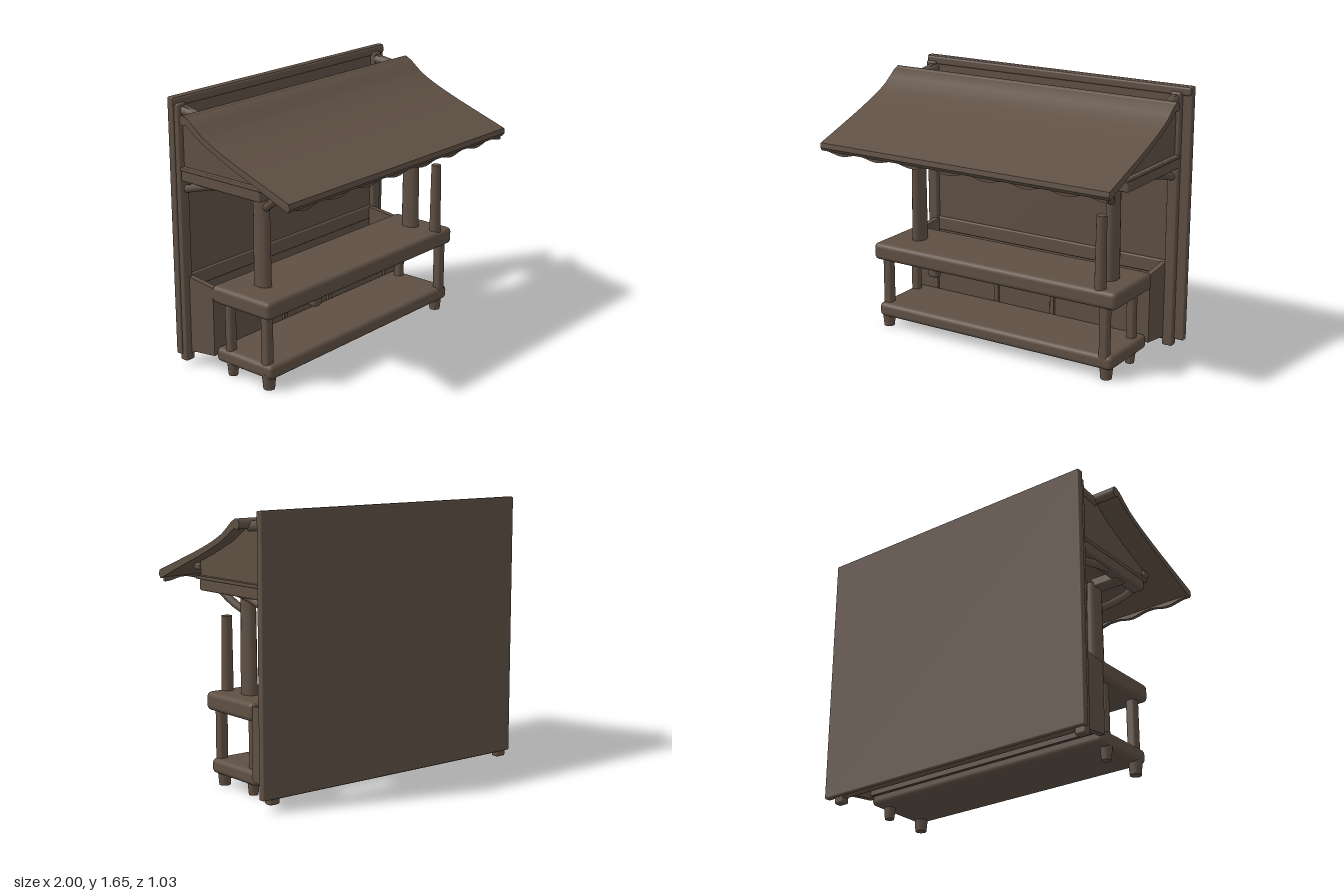
import * as THREE from 'three';
import { RoundedBoxGeometry } from 'three/addons/geometries/RoundedBoxGeometry.js';
import { toCreasedNormals } from 'three/addons/utils/BufferGeometryUtils.js';

export function createModel() {
  const group = new THREE.Group();
  const wood = new THREE.MeshStandardMaterial({ color: 0x5f5044 });
  wood.name = 'dark brown wood';

  const add = (name, geometry) => {
    const mesh = new THREE.Mesh(geometry, wood);
    mesh.name = name;
    group.add(mesh);
    return mesh;
  };
  // Block given by its limits on each axis, with softened edges
  const block = (name, [x0, x1], [y0, y1], [z0, z1], r = 0.012) => {
    const w = x1 - x0, h = y1 - y0, d = z1 - z0;
    const mesh = add(name, new RoundedBoxGeometry(w, h, d, 3, Math.min(r, w / 3, h / 3, d / 3)));
    mesh.position.set((x0 + x1) / 2, (y0 + y1) / 2, (z0 + z1) / 2);
    return mesh;
  };
  // Side outline of [z, y] points, extruded from x0 to x1, smooth over gentle bends
  const profile = (name, points, x0, x1) => {
    const shape = new THREE.Shape(points.map(([z, y]) => new THREE.Vector2(z, y)));
    const g = new THREE.ExtrudeGeometry(shape, { depth: x1 - x0, bevelEnabled: false });
    g.rotateY(-Math.PI / 2).translate(x1, 0, 0);
    return add(name, toCreasedNormals(g, 0.5));
  };
  // Round rod through points
  const rod = (name, points, radius) => {
    const curve = new THREE.CatmullRomCurve3(points.map(p => new THREE.Vector3(...p)));
    return add(name, new THREE.TubeGeometry(curve, 12, radius, 10));
  };
  // Tapered round post; depth stretches it along z
  const post = (name, x, z, y0, y1, rTop, rBottom, depth = 1) => {
    const mesh = add(name, new THREE.CylinderGeometry(rTop, rBottom, y1 - y0, 16));
    mesh.scale.z = depth;
    mesh.position.set(x, (y0 + y1) / 2, z);
  };

  // Back wall with rails
  block('backWall', [-0.9, 1.0], [0.07, 1.655], [-0.512, -0.468], 0.008);
  block('wallTopRail', [-0.895, 0.995], [1.6, 1.65], [-0.505, -0.457]);
  block('wallUpperRail', [-0.86, 0.92], [1.1, 1.17], [-0.48, -0.457]);
  block('wallLowerRail', [-0.86, 0.92], [0.48, 0.57], [-0.48, -0.452]);
  block('wallBottomRail', [-0.86, 0.92], [0.06, 0.12], [-0.49, -0.45]);

  // Sloping awning
  profile('awning', [
    [0.5, 1.205], [0.515, 1.225], [0.51, 1.255], [0.36, 1.308], [0.2, 1.365], [0.1, 1.402],
    [0, 1.442], [-0.08, 1.478], [-0.14, 1.51], [-0.19, 1.547], [-0.24, 1.587], [-0.28, 1.6],
    [-0.27, 1.555], [-0.2, 1.508], [-0.13, 1.465], [0, 1.405], [0.1, 1.363], [0.2, 1.325],
  ], -1, 1);
  const ridge = add('awningRidge', new THREE.CylinderGeometry(0.03, 0.03, 2, 16));
  ridge.rotation.z = Math.PI / 2;
  ridge.position.set(0, 1.573, -0.28);

  // Wavy hem along the awning's front edge
  const hem = new THREE.Shape();
  hem.moveTo(-0.98, 1.225);
  for (let i = 0; i <= 56; i++) {
    const x = -0.98 + i * 0.035;
    hem.lineTo(x, 1.197 + 0.011 * Math.sin(x * 24));
  }
  hem.lineTo(0.98, 1.225);
  add('awningHem', new THREE.ExtrudeGeometry(hem, { depth: 0.025, bevelEnabled: false }))
    .position.z = 0.475;

  // Side frames, gables, posts and braces
  const sides = [
    { s: -1, gable: -0.84, frame: -0.855, post: -0.655, leg: -0.79 },
    { s: 1, gable: 0.9, frame: 0.905, post: 0.74, leg: 0.805 },
  ];
  for (const { s, gable, frame, post: px, leg } of sides) {
    block('wallFramePost', [frame - 0.035, frame + 0.035], [0.03, 1.62], [-0.49, -0.435]);
    profile('gable', [
      [0.2, 1.24], [0.2, 1.34], [0, 1.42], [-0.13, 1.48], [-0.25, 1.565], [-0.45, 1.61], [-0.45, 1.24],
    ], gable - 0.015, gable + 0.015);
    block('sideBeam', [gable - 0.04, gable + 0.04], [1.16, 1.23], [-0.45, 0.18]);
    block('beamCap', [gable - 0.045, gable + 0.045], [1.225, 1.245], [-0.45, 0.21], 0.005);
    block('awningBlock', [gable - 0.03, gable + 0.03], [1.275, 1.315], [0.2, 0.255]);
    rod('topStrut', [[gable, 1.555, -0.28], [gable, 1.565, -0.36], [gable, 1.58, -0.47]], 0.032);
    rod('wallBrace', [[gable, 1.19, 0.02], [gable, 1.17, -0.2], [gable, 1.105, -0.45]], 0.024);

    // Main post, carrying a brace out to the awning
    post('mainPost', px, -0.02, 0.54, 1.18, 0.037, 0.041, 1.5);
    block('postTie', [Math.min(px, gable), Math.max(px, gable)], [1.15, 1.21], [-0.06, 0.03]);
    rod('awningBrace', [[px, 1.04, 0.01], [px + s * 0.03, 1.085, 0.08],
      [px + s * 0.07, 1.185, 0.2], [px + s * 0.1, 1.295, 0.31]], 0.024);

    // Counter legs and feet
    const z0 = s < 0 ? 0.105 : 0.14;
    block('frontLeg', [leg - 0.03, leg + 0.03], [0.1, 0.5], [z0, z0 + 0.06], 0.018);
    block('rearLeg', [leg - 0.028, leg + 0.028], [0.1, 0.5], [-0.185, -0.13], 0.018);
    post('frontFoot', leg, 0.145, 0, 0.1, 0.043, 0.034);
    post('rearFoot', leg, -0.145, 0, 0.1, 0.038, 0.028);

    // Panel closing the space between counter and wall
    const edge = s < 0 ? -0.83 : 0.86;
    profile('cabinetSide', [
      [-0.24, 0.11], [-0.24, 0.54], [-0.45, 0.565], [-0.45, 0.07], [-0.4, 0.09],
    ], edge - 0.018, edge + 0.018);
  }
  post('cornerPost', 0.765, 0.163, 0.54, 1.0, 0.031, 0.036);

  // Counter and lower shelf
  block('counter', [-0.855, 0.89], [0.45, 0.56], [-0.25, 0.21], 0.03);
  block('lowerShelf', [-0.83, 0.865], [0.07, 0.16], [-0.25, 0.2], 0.03);
  block('counterHook', [-0.445, -0.375], [0.405, 0.5], [0.13, 0.2], 0.022);

  // Back board with shallow framed panels
  block('backBoard', [-0.82, 0.85], [0.12, 0.48], [-0.28, -0.258], 0.004);
  for (const [x0, x1] of [[-0.82, -0.68], [-0.235, -0.205], [0.18, 0.21], [0.755, 0.85]])
    block('panelStile', [x0, x1], [0.13, 0.48], [-0.265, -0.24], 0.004);

  return group;
}
